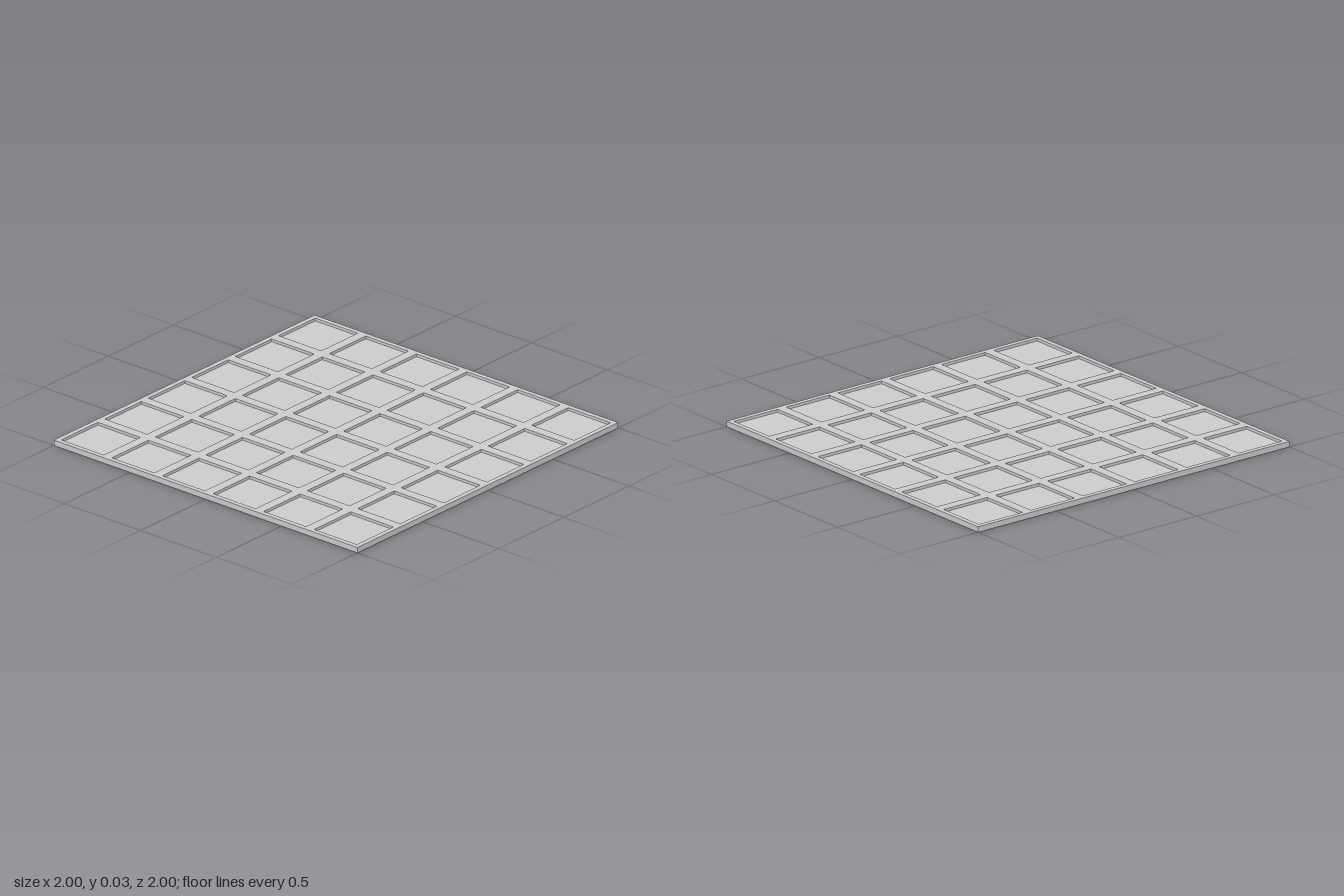
import * as THREE from 'three';

const SIZE = 2, HEIGHT = 0.03, FLOOR = 0.015;
const COUNT = 6, PITCH = SIZE / COUNT, RECESS = 0.28;

// Traces a square centred on (x, y) into a shape or hole path
function traceSquare(path, x, y, size) {
  const h = size / 2;
  path.moveTo(x - h, y - h);
  path.lineTo(x + h, y - h);
  path.lineTo(x + h, y + h);
  path.lineTo(x - h, y + h);
  path.closePath();
  return path;
}

export function createModel() {
  const group = new THREE.Group();
  group.name = 'coffered panel';
  const material = new THREE.MeshStandardMaterial({ color: 0xcccccc });

  // Solid backing whose top forms the recess floors
  const base = new THREE.Mesh(new THREE.BoxGeometry(SIZE, FLOOR, SIZE), material);
  base.name = 'basePlate';
  base.position.y = FLOOR / 2;
  group.add(base);

  // Raised lattice with a six by six grid of square openings
  const outline = traceSquare(new THREE.Shape(), 0, 0, SIZE);
  for (let row = 0; row < COUNT; row++) {
    for (let col = 0; col < COUNT; col++) {
      const x = (col + 0.5) * PITCH - SIZE / 2;
      const y = (row + 0.5) * PITCH - SIZE / 2;
      outline.holes.push(traceSquare(new THREE.Path(), x, y, RECESS));
    }
  }
  const latticeGeometry = new THREE.ExtrudeGeometry(outline, { depth: HEIGHT - FLOOR, bevelEnabled: false });
  latticeGeometry.rotateX(-Math.PI / 2);
  const lattice = new THREE.Mesh(latticeGeometry, material);
  lattice.name = 'lattice';
  lattice.position.y = FLOOR;
  group.add(lattice);

  return group;
}
